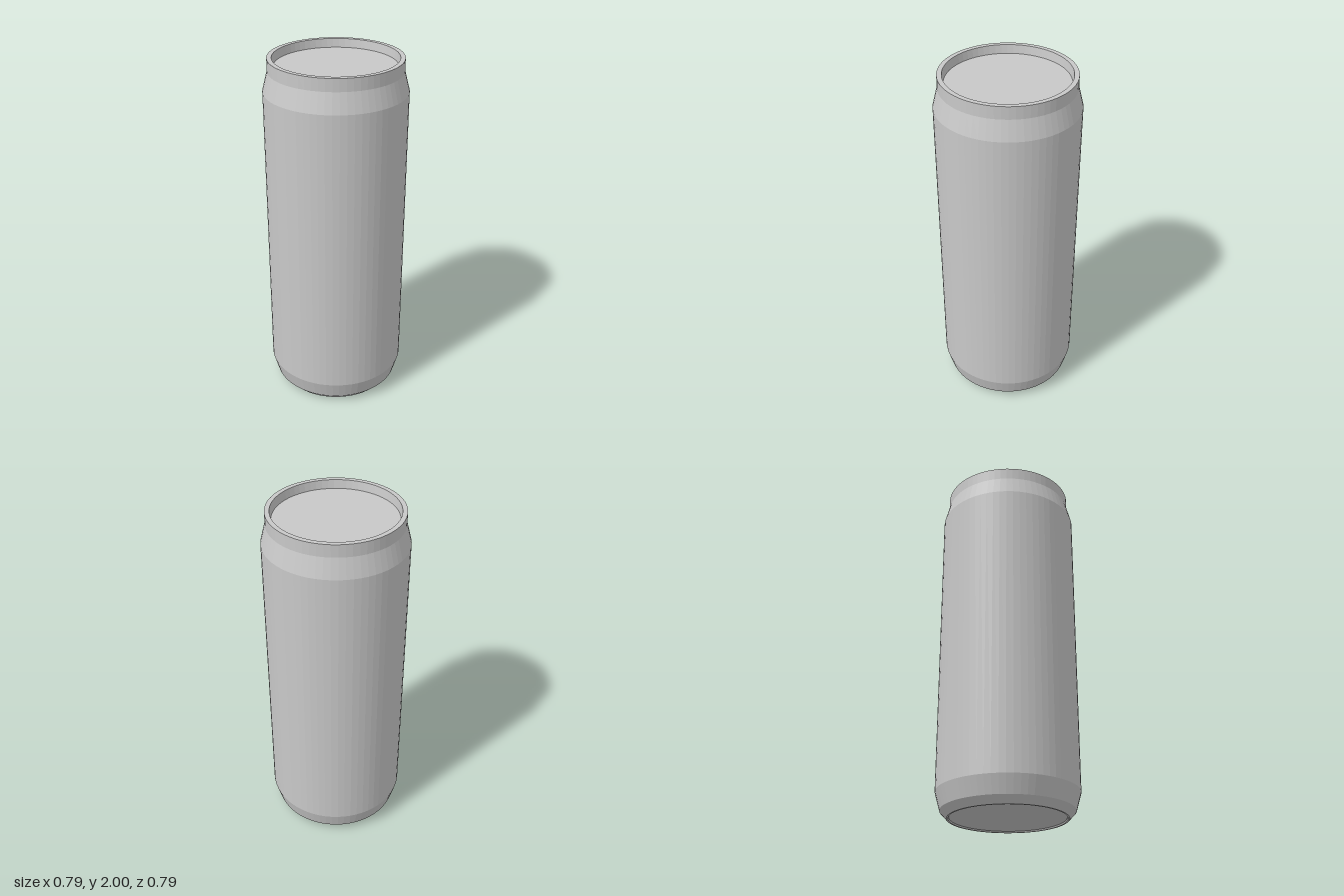
import * as THREE from 'three';

const SEGMENTS = 64;

// Turns a profile of [radius, height] points, listed from the underside up and over
function turned(name, profile, material) {
  const points = profile.map(([r, y]) => new THREE.Vector2(r, y));
  const mesh = new THREE.Mesh(new THREE.LatheGeometry(points, SEGMENTS), material);
  mesh.name = name;
  return mesh;
}

export function createModel() {
  const aluminium = new THREE.MeshStandardMaterial({ color: 0xc8c8c8, flatShading: true });
  aluminium.name = 'aluminium';

  const can = new THREE.Group();
  can.name = 'can';

  // Shallow hollow underside and its narrow standing ring
  can.add(turned('base', [[0, 0.03], [0.314, 0.008], [0.318, 0], [0.327, 0]], aluminium));

  // Bottom chamfers, straight wall, tapered shoulder and neck
  can.add(turned('body', [
    [0.327, 0], [0.365, 0.04], [0.393, 0.14], [0.393, 1.82], [0.365, 1.93], [0.365, 2],
  ], aluminium));

  // Flat top rim and the wall that drops to the lid
  can.add(turned('rim', [[0.365, 2], [0.339, 2], [0.332, 1.952]], aluminium));

  // Recessed flat lid
  can.add(turned('lid', [[0.332, 1.952], [0, 1.952]], aluminium));

  return can;
}
